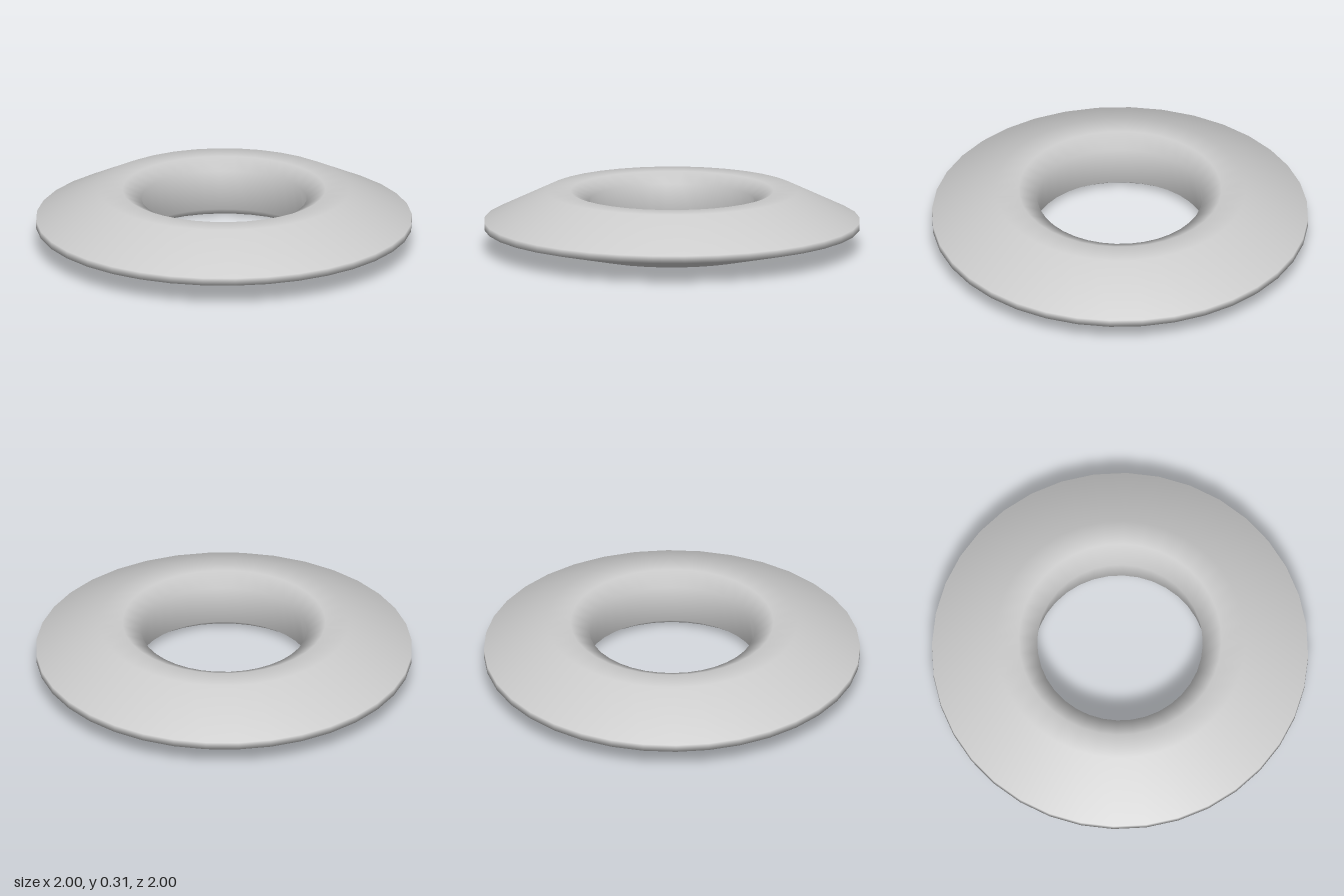
import * as THREE from 'three';
import { mergeVertices } from 'three/addons/utils/BufferGeometryUtils.js';

export function createModel() {
  const group = new THREE.Group();
  group.name = 'ring';

  // Closed cross-section (radius, height), counter-clockwise from the lower bore edge
  const profile = [
    [0.46, 0.045], [0.52, 0], // lower bore chamfer
    [1, 0.115], [1, 0.155], // underside and thin outer rim
    [0.67, 0.315], [0.54, 0.315], // upper slope and flat crown
    [0.44, 0.265], [0.46, 0.045], // upper bore chamfer and bore wall
  ].map(([r, y]) => new THREE.Vector2(r, y));

  // Weld the seams so that area-weighted normals run smoothly all round
  const lathe = new THREE.LatheGeometry(profile, 36);
  lathe.deleteAttribute('normal');
  lathe.deleteAttribute('uv');
  const geometry = mergeVertices(lathe, 1e-4);
  geometry.computeVertexNormals();

  const body = new THREE.Mesh(geometry, new THREE.MeshStandardMaterial({ color: 0xcccccc }));
  body.name = 'ringBody';
  group.add(body);
  return group;
}
